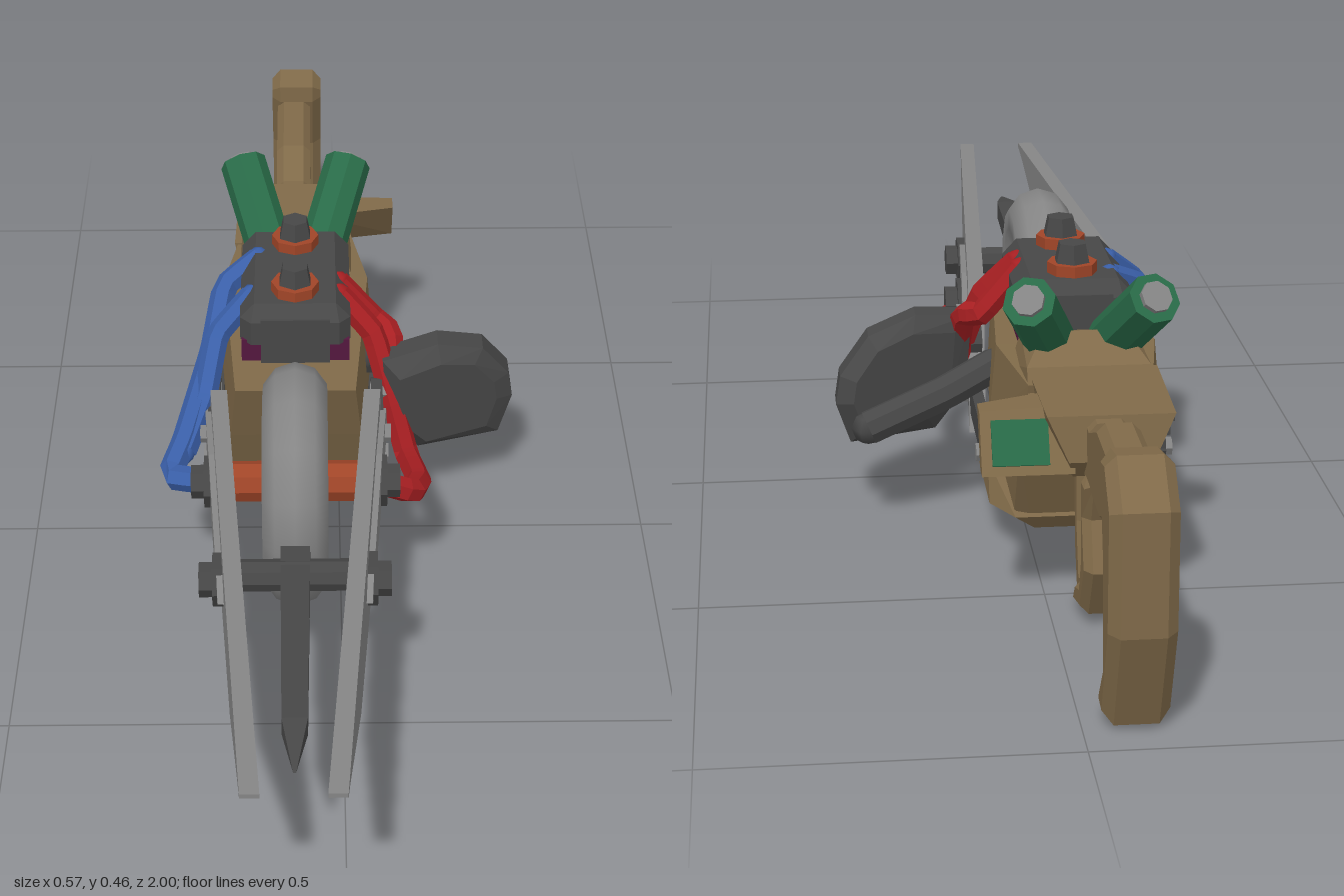
import * as THREE from 'three';
import { ConvexGeometry } from 'three/addons/geometries/ConvexGeometry.js';

const CX = -0.07; // mid-plane of the weapon

function mat(name, color) {
  const m = new THREE.MeshStandardMaterial({ color });
  m.name = name;
  return m;
}

export function createModel() {
  const brown = mat('brown', 0x806a49), steel = mat('steel', 0x858585), dark = mat('darkMetal', 0x474747);
  const blue = mat('blue', 0x3a5fa8), red = mat('red', 0xa81f22), green = mat('green', 0x296b48);
  const purple = mat('purple', 0x54183f), rust = mat('rust', 0xa04528);
  const root = new THREE.Group();
  root.name = 'sawWeapon';

  function add(name, geo, material, x = 0, y = 0, z = 0) {
    const m = new THREE.Mesh(geo, material);
    m.name = name;
    m.position.set(x, y, z);
    root.add(m);
    return m;
  }
  const flat = (g) => {
    const n = g.index ? g.toNonIndexed() : g;
    n.computeVertexNormals();
    return n;
  };
  // convex solid from sections [z, y, halfWidth], mirrored about x = 0
  const hull = (pts) => new ConvexGeometry(pts.flatMap(([z, y, w]) =>
    [new THREE.Vector3(w, y, z), new THREE.Vector3(-w, y, z)]));
  // side profile of [z, y] points, given a thickness along x
  function plate(pts, depth, bevel = 0) {
    const s = new THREE.Shape(pts.map(([z, y]) => new THREE.Vector2(z, y)));
    const g = new THREE.ExtrudeGeometry(s, { depth: depth - 2 * bevel, bevelEnabled: bevel > 0,
      bevelThickness: bevel, bevelSize: bevel, bevelOffset: -bevel, bevelSegments: 1 });
    g.translate(0, 0, -(depth / 2 - bevel));
    return g.rotateY(-Math.PI / 2);
  }
  function tube(name, pts, r, material, sides = 6, closed = false) {
    const v = pts.map((p) => new THREE.Vector3(...p));
    const c = new THREE.CatmullRomCurve3(v, closed, 'catmullrom', 0.15);
    add(name, flat(new THREE.TubeGeometry(c, pts.length * 4, r, sides, closed)), material);
    if (!closed) for (const p of [v[0], v[v.length - 1]])
      add(name + 'End', new THREE.SphereGeometry(r * 0.97, 6, 4), material, p.x, p.y, p.z);
  }
  // cylinder lying along x
  const rod = (r, len, sides) => flat(new THREE.CylinderGeometry(r, r, len, sides).rotateZ(Math.PI / 2));

  // Hull, bottom flange and neck
  add('body', hull([[0.06, 0.31, 0.095], [-0.28, 0.315, 0.12], [-0.46, 0.31, 0.09], [0.02, 0.2, 0.105],
    [-0.28, 0.2, 0.13], [-0.43, 0.2, 0.1], [-0.02, 0.1, 0.105], [-0.36, 0.08, 0.1],
    [-0.1, 0.06, 0.08], [-0.36, 0.06, 0.075]]), brown, CX);
  add('bottomFlange', hull([[0.0, 0.1, 0.115], [-0.05, 0.06, 0.13], [-0.28, 0.06, 0.13], [-0.38, 0.075, 0.1],
    [-0.2, 0.1, 0.125], [-0.08, 0.045, 0.08], [-0.36, 0.05, 0.07]]), brown, CX);
  add('rearDeck', hull([[-0.3, 0.34, 0.085], [-0.38, 0.365, 0.06], [-0.44, 0.33, 0.09],
    [-0.3, 0.29, 0.1], [-0.46, 0.29, 0.09]]), brown, CX);
  add('neck', hull([[-0.4, 0.315, 0.095], [-0.61, 0.315, 0.09], [-0.4, 0.22, 0.08],
    [-0.58, 0.215, 0.05], [-0.62, 0.25, 0.06]]), brown, CX - 0.01);
  for (let i = 0; i < 3; i++)
    add('neckVent', new THREE.BoxGeometry(0.008, 0.012, 0.09), dark, CX - 0.098 + i * 0.006, 0.3 - i * 0.02, -0.54);

  // Side port with an inset panel on its sloping rear
  const port = [];
  for (const [x, top] of [[-0.03, 0.315], [0.1, 0.31]])
    port.push([x, top, -0.5 - x * 0.3], [x, top, -0.565], [x, 0.23, -0.61], [x, 0.23, -0.56 - x * 0.2]);
  add('sidePort', new ConvexGeometry(port.map((p) => new THREE.Vector3(...p))), brown);
  const panel = add('portPanel', new THREE.BoxGeometry(0.08, 0.065, 0.006), green, 0.045, 0.271, -0.589);
  panel.rotation.x = Math.atan2(0.045, 0.08);

  // Stock, butt and grip loop
  add('stock', plate([[-0.56, 0.31], [-0.63, 0.31], [-0.71, 0.34], [-0.92, 0.34], [-0.95, 0.235],
    [-0.82, 0.235], [-0.75, 0.21], [-0.58, 0.21]], 0.06, 0.012), brown, CX - 0.005);
  add('butt', plate([[-0.885, 0.34], [-0.885, 0.37], [-0.94, 0.38], [-1.0, 0.325], [-1.0, 0.155],
    [-0.945, 0.01], [-0.885, 0.025], [-0.93, 0.09], [-0.92, 0.235]], 0.09, 0.015), brown, CX);
  add('gripBar', plate([[-0.6, 0.23], [-0.66, 0.23], [-0.635, 0.17], [-0.662, 0.1], [-0.615, 0.02],
    [-0.52, 0.002], [-0.545, 0.045], [-0.59, 0.06], [-0.61, 0.11]], 0.065, 0.012), brown, CX);
  add('gripFront', plate([[-0.46, 0.22], [-0.51, 0.22], [-0.515, 0.12], [-0.545, 0.04], [-0.52, 0.002],
    [-0.485, 0.07]], 0.05, 0.01), brown, CX);

  // Ring, axle, crossbar and centre spike
  const ring = add('ring', new THREE.TorusGeometry(0.142, 0.052, 10, 14).rotateY(Math.PI / 2), steel, CX, 0.235, 0.205);
  ring.scale.y = 0.95;
  add('axle', rod(0.032, 0.2, 8), rust, CX, 0.235, 0.2);
  add('crossbar', rod(0.024, 0.2, 8), dark, CX, 0.235, 0.44);
  add('spike', hull([[0.4, 0.258, 0.022], [0.4, 0.212, 0.022], [0.78, 0.25, 0.018], [0.78, 0.22, 0.018],
    [0.875, 0.235, 0.002]]), dark, CX);

  // Mirrored side parts
  for (const s of [-1, 1]) {
    const side = (x) => CX + s * x;
    const toe = (g) => { // blades close in toward the tip
      const p = g.attributes.position;
      for (let i = 0; i < p.count; i++) p.setX(i, p.getX(i) + s * (0.118 - 0.068 * (p.getZ(i) - 0.1)));
      return flat(g);
    };
    add('blade', toe(plate([[1.0, 0.31], [0.06, 0.312], [-0.02, 0.17], [-0.06, 0.095], [0.02, 0.09],
      [0.66, 0.155], [0.95, 0.285], [1.0, 0.303]], 0.026)), steel, CX);
    add('bladeArm', toe(plate([[0.51, 0.235], [0.47, 0.265], [0.2, 0.285], [0.05, 0.27], [0.0, 0.2],
      [0.2, 0.195], [0.47, 0.21]], 0.012).translate(s * 0.016, 0, 0)), steel, CX);
    for (const [z, x] of [[0.2, 0.13], [0.45, 0.11]]) {
      add('boltPlate', rod(0.04, 0.022, 6), dark, side(x), 0.235, z);
      add('boltHead', rod(0.026, 0.03, 6), dark, side(x + 0.016), 0.235, z);
    }
    // Pivot links beside the hull
    const link = (z0, y0, z1, y1) => {
      const c = new THREE.Vector2(z1 - z0, y1 - y0), len = c.length(), pts = [];
      for (let i = 0; i <= 9; i++) {
        const a = Math.PI / 2 + (i > 4 ? i - 1 : i) * Math.PI / 4;
        pts.push([(i > 4 ? len : 0) + 0.022 * Math.cos(a), 0.022 * Math.sin(a)]);
      }
      const m = add('pivotLink', plate(pts, 0.018), dark, side(0.13), y0, z0);
      m.rotation.x = -c.angle();
      for (const [z, y] of [[z0, y0], [z1, y1]])
        add('pivotPin', rod(0.014, 0.03, 6), steel, side(0.135), y, z);
    };
    link(0.09, 0.25, -0.04, 0.245);
    link(-0.01, 0.145, -0.27, 0.14);

    // Canisters splayed up and back
    const dir = new THREE.Vector3(s * 0.045, 0.1, -0.12).normalize();
    const tip = new THREE.Vector3(side(0.09), 0.437, -0.465);
    const canister = (name, r, len, off, m) => {
      const p = tip.clone().addScaledVector(dir, off - len / 2);
      const o = add(name, flat(new THREE.CylinderGeometry(r, r, len, 8)), m, p.x, p.y, p.z);
      o.quaternion.setFromUnitVectors(new THREE.Vector3(0, 1, 0), dir);
    };
    canister('canister', 0.039, 0.17, 0, green);
    canister('canisterCap', 0.024, 0.012, 0.008, steel);
  }

  // Engine block with coloured band and two filler caps
  add('engineBand', new THREE.BoxGeometry(0.172, 0.05, 0.255), purple, CX, 0.325, -0.155);
  add('engineBlock', hull([[-0.02, 0.345, 0.07], [-0.04, 0.345, 0.088], [-0.27, 0.345, 0.088], [-0.29, 0.345, 0.07],
    [-0.02, 0.385, 0.07], [-0.04, 0.385, 0.088], [-0.27, 0.385, 0.088], [-0.29, 0.385, 0.07],
    [-0.04, 0.41, 0.065], [-0.27, 0.41, 0.065]]), dark, CX);
  add('engineCore', new THREE.BoxGeometry(0.11, 0.1, 0.27), dark, CX, 0.34, -0.155);
  for (const z of [-0.08, -0.23]) {
    add('capBase', flat(new THREE.CylinderGeometry(0.038, 0.038, 0.03, 8)), rust, CX, 0.412, z);
    add('cap', flat(new THREE.CylinderGeometry(0.022, 0.029, 0.032, 6)), dark, CX, 0.44, z);
  }

  // Hoses: blue on one side, red on the other
  tube('blueHose', [[-0.13, 0.395, -0.21], [-0.185, 0.365, -0.17], [-0.205, 0.3, -0.08], [-0.245, 0.245, 0.1],
    [-0.265, 0.225, 0.17], [-0.2, 0.235, 0.2]], 0.02, blue);
  tube('blueBranch', [[-0.14, 0.39, -0.1], [-0.195, 0.34, -0.06], [-0.215, 0.27, 0.02], [-0.245, 0.235, 0.12]], 0.019, blue);
  tube('redHose', [[0.0, 0.39, -0.1], [0.055, 0.33, -0.08], [0.085, 0.23, -0.04], [0.11, 0.14, -0.01],
    [0.125, 0.17, 0.11], [0.11, 0.2, 0.18], [0.05, 0.235, 0.2]], 0.02, red);
  tube('redBranch', [[0.0, 0.39, -0.14], [0.06, 0.32, -0.14], [0.085, 0.31, -0.11], [0.09, 0.22, -0.04]], 0.019, red);

  // Side pad: flat rounded slab slanting backward, with a stub handle behind
  const rim = [[0.07, 0.3], [0.16, 0.312], [0.235, 0.288], [0.28, 0.23], [0.287, 0.185], [0.265, 0.12], [0.13, 0.122], [0.08, 0.18]];
  const padPts = [];
  for (const [x, y] of rim) {
    const z = -0.065 - (x - 0.08) * 0.35;
    for (const [k, d] of [[1, 0.022], [1, -0.022], [0.75, 0.045], [0.75, -0.045]])
      padPts.push(new THREE.Vector3(0.18 + (x - 0.18) * k, 0.215 + (y - 0.215) * k, z + d));
  }
  add('sidePad', new ConvexGeometry(padPts), dark);
  tube('padHandle', [[0.04, 0.24, -0.15], [0.12, 0.21, -0.19], [0.19, 0.185, -0.208], [0.24, 0.165, -0.215]], 0.027, dark, 8);

  return root;
}
